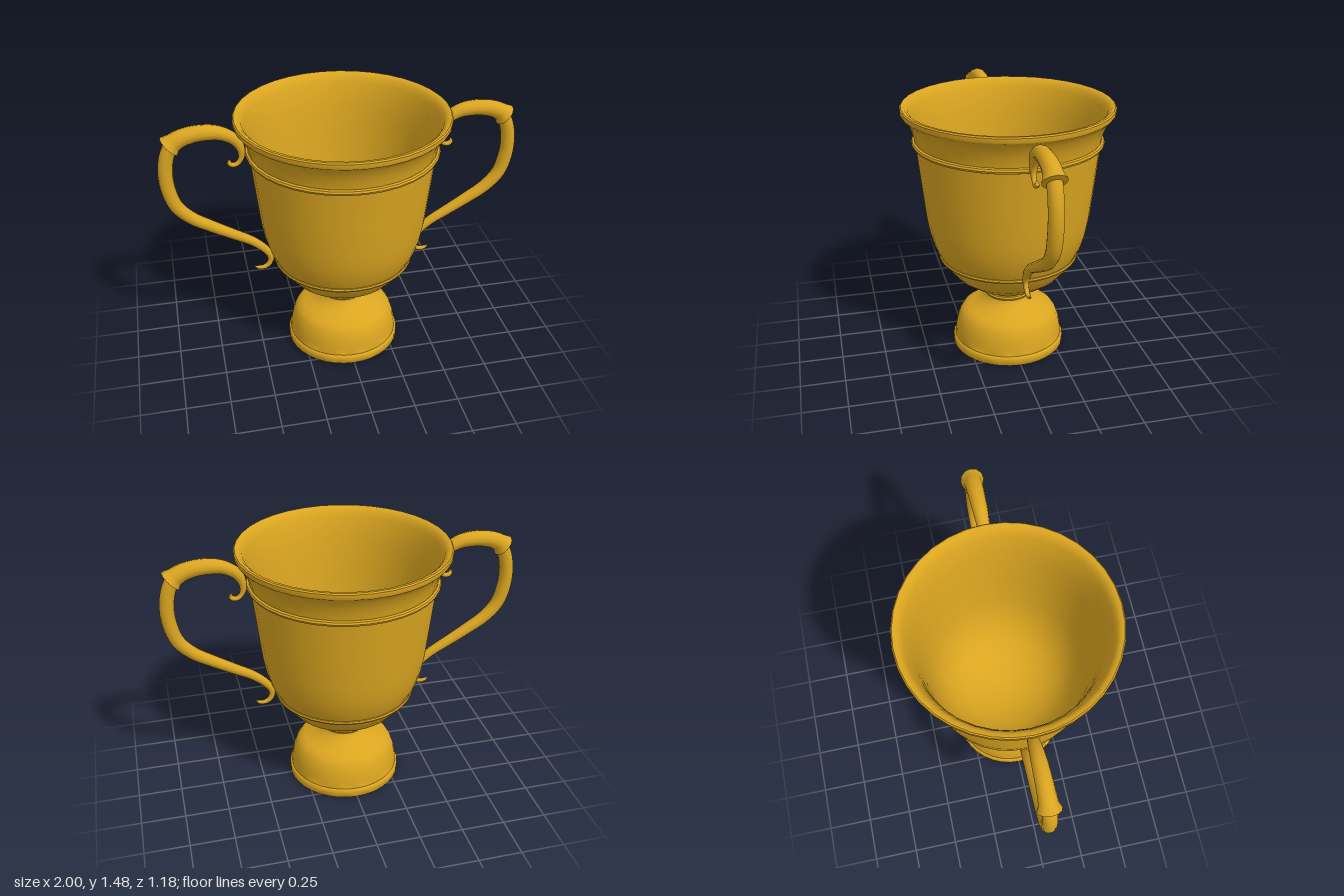
import * as THREE from 'three';
import { toCreasedNormals } from 'three/addons/utils/BufferGeometryUtils.js';

const gold = new THREE.MeshStandardMaterial({ color: 0xdaa520 });
gold.name = 'gold';

function part(name, geometry) {
  const mesh = new THREE.Mesh(toCreasedNormals(geometry, 0.75), gold);
  mesh.name = name;
  return mesh;
}

// Turned part from [radius, height] pairs, listed bottom to top on the outside
function turned(name, profile) {
  return part(name, new THREE.LatheGeometry(profile.map(([r, y]) => new THREE.Vector2(r, y)), 36));
}

// Ring around the cup
function band(name, radius, y, thickness) {
  const g = new THREE.TorusGeometry(radius, thickness, 8, 36);
  g.rotateX(Math.PI / 2).translate(0, y, 0);
  return part(name, g);
}

// Round bar along a path; radii are [fraction of length, radius] pairs
function taperedBar(name, path, radii) {
  const steps = 56, sides = 12;
  const curve = new THREE.CatmullRomCurve3(path.map(([x, y]) => new THREE.Vector3(x, y, 0)), false, 'centripetal');
  const g = new THREE.TubeGeometry(curve, steps, 1, sides, false);
  const pos = g.attributes.position, v = new THREE.Vector3();
  for (let i = 0; i <= steps; i++) {
    const t = i / steps;
    const centre = curve.getPointAt(t);
    let k = 1;
    while (k < radii.length - 1 && radii[k][0] < t) k++;
    const [t0, r0] = radii[k - 1], [t1, r1] = radii[k];
    const r = THREE.MathUtils.lerp(r0, r1, (t - t0) / (t1 - t0));
    for (let j = 0; j <= sides; j++) {
      const n = i * (sides + 1) + j;
      v.fromBufferAttribute(pos, n).sub(centre).multiplyScalar(r).add(centre);
      pos.setXYZ(n, v.x, v.y, v.z);
    }
  }
  return part(name, g);
}

function makeHandle(name) {
  const handle = new THREE.Group();
  handle.name = name;
  // Upper arm, from the small curl beside the cup to the flared collar
  handle.add(taperedBar('upperArm', [
    [0.615, 1.26], [0.622, 1.24], [0.605, 1.226], [0.58, 1.23], [0.556, 1.262], [0.553, 1.31],
    [0.585, 1.375], [0.66, 1.42], [0.76, 1.431], [0.85, 1.416], [0.9, 1.392], [0.936, 1.363],
  ], [[0, 0.003], [0.04, 0.014], [0.14, 0.013], [0.26, 0.022], [0.38, 0.032], [0.6, 0.042],
    [0.84, 0.047], [0.93, 0.051], [0.982, 0.065], [1, 0.001]]));
  // Lower arm, sweeping down to the curled tail
  handle.add(taperedBar('lowerArm', [
    [0.915, 1.38], [0.945, 1.31], [0.961, 1.22], [0.957, 1.12], [0.925, 1.01], [0.85, 0.925],
    [0.75, 0.86], [0.63, 0.79], [0.52, 0.725], [0.447, 0.655], [0.424, 0.6], [0.44, 0.558],
    [0.475, 0.54], [0.505, 0.545], [0.522, 0.557],
  ], [[0, 0.04], [0.25, 0.04], [0.5, 0.034], [0.7, 0.028], [0.82, 0.024], [0.92, 0.015],
    [0.98, 0.011], [1, 0.002]]));
  return handle;
}

export function createModel() {
  const model = new THREE.Group();
  model.name = 'trophyCup';

  // Domed foot with a plinth edge and a narrow stem
  model.add(turned('foot', [
    [0, 0], [0.325, 0], [0.33, 0.006], [0.33, 0.045], [0.324, 0.054], [0.318, 0.056],
    [0.314, 0.1], [0.304, 0.15], [0.288, 0.195], [0.27, 0.222], [0.24, 0.24], [0.2, 0.255],
    [0.165, 0.275], [0.138, 0.298], [0.125, 0.318], [0.122, 0.35], [0.13, 0.375],
  ]));
  model.add(band('stemRing', 0.119, 0.333, 0.015));

  // Bowl: outside wall, rolled lip, then inside wall down to the floor
  model.add(turned('bowl', [
    [0, 0.362], [0.125, 0.362], [0.16, 0.375], [0.24, 0.417], [0.31, 0.47], [0.36, 0.53], [0.39, 0.585],
    [0.425, 0.655], [0.45, 0.74], [0.467, 0.835], [0.488, 1.03], [0.511, 1.25], [0.517, 1.3],
    [0.53, 1.35], [0.55, 1.4], [0.573, 1.43], [0.585, 1.438], [0.59, 1.447], [0.59, 1.469],
    [0.583, 1.476], [0.565, 1.474], [0.545, 1.455], [0.533, 1.425],
    [0.515, 1.37], [0.5, 1.3], [0.485, 1.2], [0.465, 1.03], [0.442, 0.835], [0.415, 0.7],
    [0.37, 0.6], [0.31, 0.515], [0.22, 0.45], [0.12, 0.415], [0, 0.402],
  ]));
  model.add(band('upperBand', 0.518, 1.275, 0.016));
  model.add(band('lowerBand', 0.391, 0.586, 0.013));

  // Pair of handles
  const leftHandle = makeHandle('leftHandle');
  const rightHandle = makeHandle('rightHandle');
  rightHandle.rotation.y = Math.PI;
  model.add(leftHandle, rightHandle);
  return model;
}
